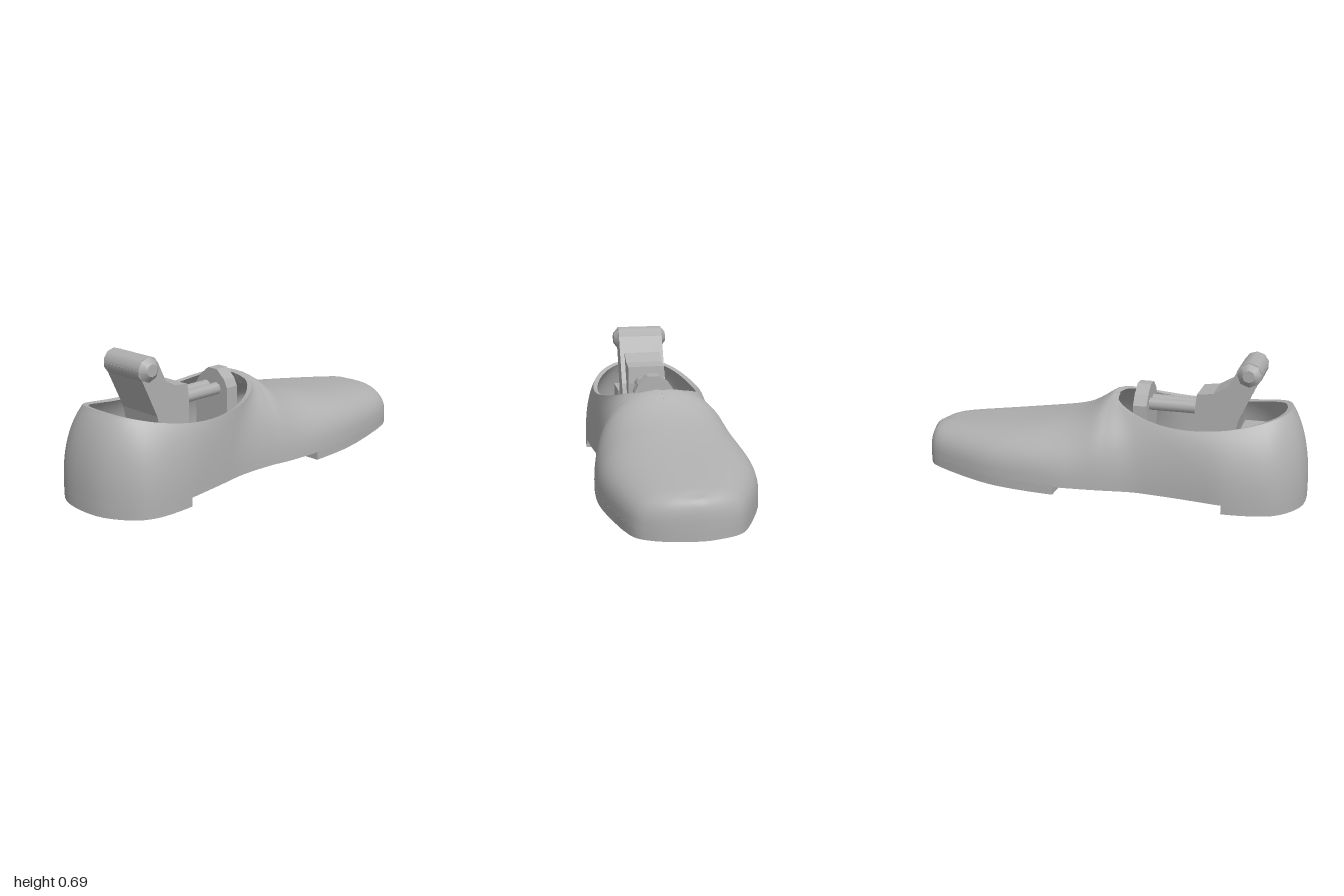
import * as THREE from 'three';
import { toCreasedNormals } from 'three/addons/utils/BufferGeometryUtils.js';

const grey = new THREE.MeshStandardMaterial({ color: 0xb0b0b0, side: THREE.DoubleSide });
grey.name = 'grey';

// Toe half: sole x, right width, left width, ridge x, ridge y
const toe = [
  [1.0, 0, 0, 0.95, 0.235],
  [0.985, 0.08, 0.12, 0.93, 0.24],
  [0.95, 0.165, 0.22, 0.9, 0.25],
  [0.87, 0.23, 0.295, 0.83, 0.26],
  [0.6, 0.345, 0.36, 0.6, 0.29],
  [0.4, 0.38, 0.385, 0.4, 0.32],
  [0.2, 0.385, 0.38, 0.2, 0.365],
  [0.1, 0.375, 0.37, 0.09, 0.41],
];
// Heel half, spread evenly round the collar: sole x, right width, left width
const heel = [
  [0, 0.36, 0.355],
  [-0.08, 0.345, 0.335],
  [-0.19, 0.325, 0.32],
  [-0.3, 0.325, 0.315],
  [-0.41, 0.33, 0.325],
  [-0.52, 0.338, 0.333],
  [-0.65, 0.345, 0.34],
  [-0.8, 0.315, 0.325],
  [-0.9, 0.26, 0.27],
  [-0.98, 0.14, 0.14],
  [-1, 0, 0],
];
const shankY = (x) => 0.067 + 0.0217 * x;

// Point on the oval collar at angle t from its front, on side s
function collarPoint(t, s) {
  const c = Math.cos(t), w = Math.pow(Math.max(0, Math.sin(t)), 0.8);
  return new THREE.Vector3(-0.46 + 0.45 * c, 0.385 + (0.0825 + 0.0075 * c) * c * c, w * (0.02 + 0.29 * s));
}

// One side of the shoe (s = -1 right, 1 left) as sole and top points, toe to heel
function sideStations(s) {
  const sole = ([x, right, left]) => new THREE.Vector3(x, shankY(x), s < 0 ? -right : left);
  return [
    ...toe.map((c) => ({ sole: sole(c), top: new THREE.Vector3(c[3], c[4], 0) })),
    ...heel.map((c, i) => ({ sole: sole(c), top: collarPoint((i / (heel.length - 1)) * Math.PI, s) })),
  ];
}

// Closed guide curves: right side toe to heel, then left side back to the toe
const loop = [...sideStations(-1), ...sideStations(1).slice(1, -1).reverse()];
const guide = (points) => new THREE.CatmullRomCurve3(points, true, 'catmullrom', 0.5);
const soleCurve = guide(loop.map((p) => p.sole));
const topCurve = guide(loop.map((p) => p.top));

const AROUND = loop.length * 3;
const ROWS = 14;
const outline = Array.from({ length: AROUND }, (_, i) => soleCurve.getPoint(i / AROUND));

// Bowed profile from sole point b to top point t: full arch at the toe, steep wall at the heel
function archPoint(b, t, v) {
  const opening = THREE.MathUtils.clamp(1 + b.x / 0.5, 0, 1);
  const max = THREE.MathUtils.degToRad(50 + 40 * opening * opening);
  const power = 0.9 - 0.2 * THREE.MathUtils.smoothstep(b.x, 0, 0.5);
  const a = v * max;
  const inward = (q) => 1 - Math.pow(Math.max(0, Math.cos(q)), power);
  const h = inward(a) / inward(max);
  const g = Math.pow(Math.sin(a) / Math.sin(max), power);
  return [b.x + (t.x - b.x) * h, b.y + (t.y - b.y) * g, b.z + (t.z - b.z) * h];
}

// Outer skin, rim and inner lining in one shell
function shellGeometry() {
  const pos = [], index = [], total = (ROWS + 1) * 2;
  for (let j = 0; j < AROUND; j++) {
    const b = outline[j], t = topCurve.getPoint(j / AROUND);
    const bi = new THREE.Vector3(b.x * 0.95, b.y + 0.03, b.z * 0.92);
    const ti = t.x < 0.02
      ? new THREE.Vector3(-0.46 + (t.x + 0.46) * 0.94, t.y - 0.008, 0.02 + (t.z - 0.02) * 0.92)
      : new THREE.Vector3(t.x - 0.03, t.y - 0.03, t.z);
    for (let i = 0; i <= ROWS; i++) pos.push(...archPoint(b, t, i / ROWS));
    for (let i = ROWS; i >= 0; i--) pos.push(...archPoint(bi, ti, i / ROWS));
    const n = (j + 1) % AROUND;
    for (let i = 0; i < total - 1; i++) {
      const p = j * total + i, q = n * total + i;
      index.push(p, q, q + 1, p, q + 1, p + 1);
    }
  }
  const g = new THREE.BufferGeometry();
  g.setAttribute('position', new THREE.Float32BufferAttribute(pos, 3));
  g.setIndex(index);
  return toCreasedNormals(g, 0.75);
}

// Keep the part of a polygon on one side of a line of constant x
function clip(points, x, sign) {
  const res = [];
  points.forEach((p, i) => {
    const q = points[(i + 1) % points.length];
    const dp = (p.x - x) * sign, dq = (q.x - x) * sign;
    if (dp >= 0) res.push(p);
    if (dp * dq < 0) res.push(p.clone().lerp(q, dp / (dp - dq)));
  });
  return res;
}

// Slab following the sole outline between two x values
function soleSlab(x0, x1, bottom, top, scale = 1) {
  const pts = clip(clip(outline, x0, 1), x1, -1);
  const shape = new THREE.Shape(pts.map((p) => new THREE.Vector2(p.x * scale, -p.z * scale)));
  const g = new THREE.ExtrudeGeometry(shape, { depth: 1, bevelEnabled: false });
  g.rotateX(-Math.PI / 2);
  const p = g.attributes.position;
  for (let i = 0; i < p.count; i++) p.setY(i, p.getY(i) < 0.5 ? bottom(p.getX(i)) : top(p.getX(i)));
  return toCreasedNormals(g, 0.6);
}

// Side profile in x and y, given a width from z0 to z1
function sidePlate(points, z0, z1) {
  const shape = new THREE.Shape(points.map((p) => new THREE.Vector2(...p)));
  return new THREE.ExtrudeGeometry(shape, { depth: z1 - z0, bevelEnabled: false }).translate(0, 0, z0);
}

export function createModel() {
  const model = new THREE.Group();
  const add = (name, geometry, parent = model) => {
    const mesh = new THREE.Mesh(geometry, grey);
    mesh.name = name;
    parent.add(mesh);
  };

  // Shoe
  add('upper', shellGeometry());
  add('insole', soleSlab(-2, 2, shankY, (x) => shankY(x) + 0.04, 0.985));
  add('heel', soleSlab(-2, -0.63, (x) => 0.027 + 0.027 * x, (x) => shankY(x) + 0.005));
  add('foreSole', soleSlab(0.2, 2, (x) => 0.025 + 0.025 * x, (x) => shankY(x) + 0.005));

  // Shoe tree: lever, hinge block, rods and front plate
  const tree = new THREE.Group();
  tree.name = 'shoeTree';
  model.add(tree);
  add('lever', sidePlate([[-0.765, 0.63], [-0.66, 0.4], [-0.62, 0.2], [-0.48, 0.2], [-0.53, 0.4], [-0.648, 0.65], [-0.7, 0.685]], -0.1, 0.145), tree);
  const roll = new THREE.CylinderGeometry(0.062, 0.062, 0.245, 10).rotateX(Math.PI / 2);
  add('leverRoll', roll.translate(-0.705, 0.63, 0.022), tree);
  for (const s of [-1, 1]) {
    const knob = new THREE.CylinderGeometry(0.03, 0.06, 0.025, 8).rotateX(s * Math.PI / 2);
    add('leverKnob', knob.translate(-0.705, 0.63, s > 0 ? 0.158 : -0.112), tree);
  }
  add('hingeBlock', sidePlate([[-0.62, 0.2], [-0.45, 0.2], [-0.44, 0.42], [-0.45, 0.51], [-0.53, 0.52], [-0.6, 0.56]], -0.08, 0.12), tree);
  for (const z of [-0.015, 0.055]) {
    const rod = new THREE.CylinderGeometry(0.032, 0.032, 0.3, 8).rotateZ(Math.PI / 2);
    add('rod', rod.translate(-0.31, 0.425, z), tree);
  }
  const arch = [[-0.09, 0.12], [0.13, 0.12], [0.13, 0.44], [0.11, 0.48], [0.06, 0.523], [0, 0.523], [-0.055, 0.48], [-0.09, 0.43]];
  const archShape = new THREE.Shape(arch.map(([z, y]) => new THREE.Vector2(-z, y)));
  const front = new THREE.ExtrudeGeometry(archShape, { depth: 0.07, bevelEnabled: false });
  add('frontPlate', front.rotateY(Math.PI / 2).translate(-0.2, 0, 0), tree);
  add('baseBlock', new THREE.BoxGeometry(0.65, 0.1, 0.24).translate(-0.46, 0.15, 0.02), tree);
  add('heelPlate', new THREE.BoxGeometry(0.2, 0.26, 0.27).translate(-0.76, 0.2, 0.015), tree);

  // Ring and studs under the arch of the sole
  const boss = new THREE.Group();
  boss.name = 'archBoss';
  boss.position.set(-0.28, shankY(-0.28), 0);
  model.add(boss);
  add('bossRing', new THREE.TorusGeometry(0.13, 0.012, 4, 20).rotateX(Math.PI / 2), boss);
  for (let i = 0; i < 8; i++) {
    const a = (i / 8) * Math.PI * 2;
    const stud = (name, r, size) => add(name,
      new THREE.ConeGeometry(size, 0.02, 3).rotateX(Math.PI).rotateY(i).translate(Math.cos(a) * r, -0.006, Math.sin(a) * r), boss);
    stud('innerStud', 0.07, 0.035);
    stud('outerStud', 0.21, 0.032);
  }
  return model;
}
